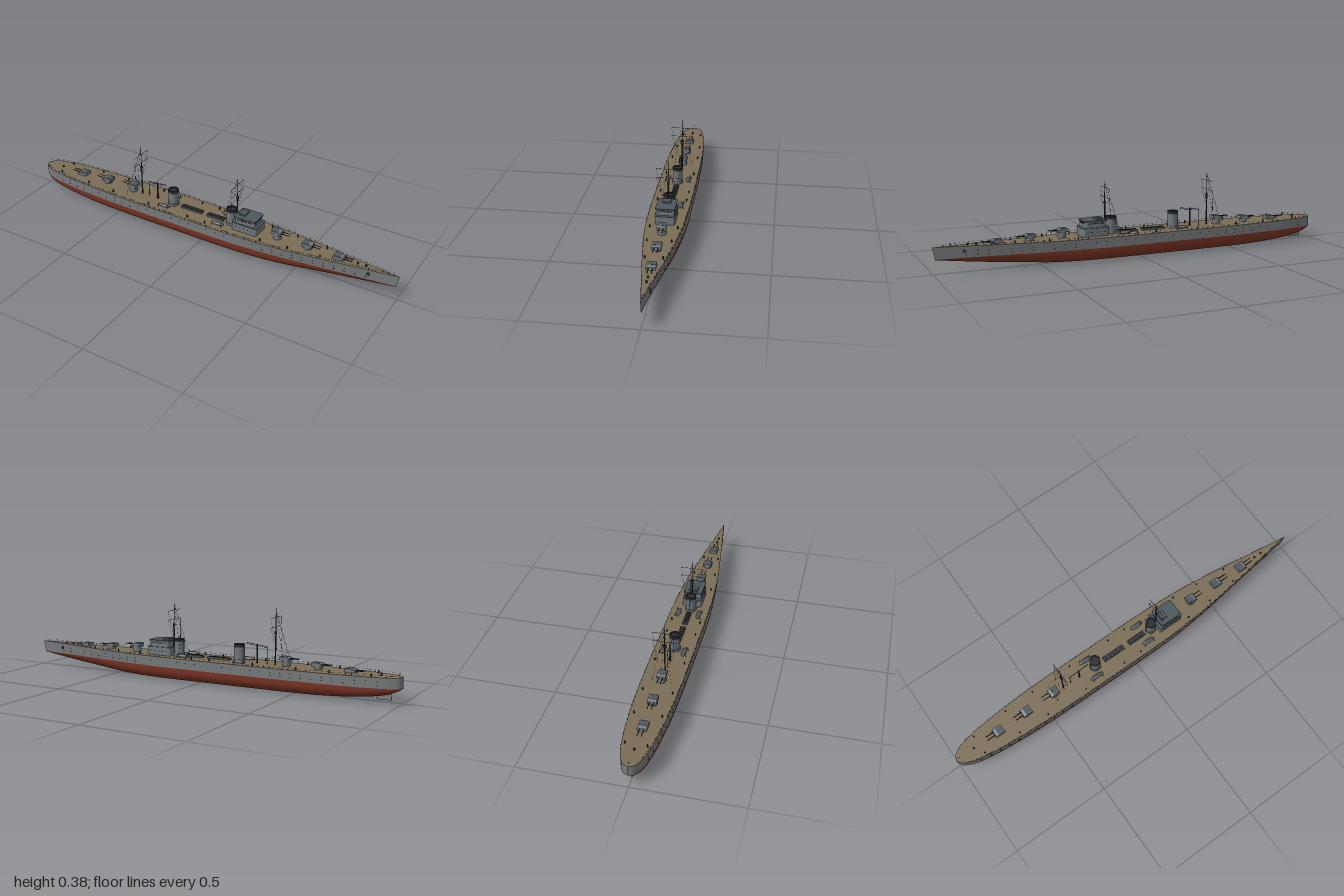
import * as THREE from 'three';
import { mergeGeometries } from 'three/addons/utils/BufferGeometryUtils.js';

const mat = (name, color, side = THREE.FrontSide) => {
  const m = new THREE.MeshStandardMaterial({ color, side });
  m.name = name;
  return m;
};
const M = {
  hull: mat('hull grey', 0x787b7d, THREE.DoubleSide),
  red: mat('bottom red', 0x7a3424, THREE.DoubleSide),
  deck: mat('deck tan', 0x7b6d56, THREE.DoubleSide),
  grey: mat('turret grey', 0x6f777b),
  slate: mat('slate roof', 0x4c575d),
  dark: mat('dark metal', 0x2a2d30),
};

// Hull stations: x, half beam, keel height
const stations = [
  [-1, 0, .068], [-.99, .022, .06], [-.97, .037, .05], [-.93, .053, .035], [-.85, .068, .02],
  [-.75, .079, .01], [-.6, .089, .002], [-.4, .094, 0], [-.1, .095, 0], [.15, .094, 0],
  [.3, .088, .001], [.45, .076, .006], [.6, .057, .02], [.75, .036, .035], [.9, .014, .053], [1, 0, .066],
];
const curve = new THREE.CatmullRomCurve3(stations.map(s => new THREE.Vector3(...s)));
const samples = curve.getPoints(120);
const WL = 0.068;
const sheer = x => 0.117 + 0.008 * Math.max(0, (x - 0.3) / 0.7) ** 1.5;
const flare = x => 0.98 - 0.2 * Math.max(0, (x - 0.2) / 0.8);
const stem = x => x - 0.012 * Math.max(0, (x - 0.7) / 0.3);
function beamAt(x) {
  const i = Math.max(1, samples.findIndex(p => p.x >= x));
  const a = samples[i - 1], b = samples[i];
  return Math.max(0, a.y + (b.y - a.y) * (x - a.x) / (b.x - a.x));
}
const sideZ = (x, y) => beamAt(x) * THREE.MathUtils.lerp(flare(x), 1, (y - WL) / (sheer(x) - WL));

// Skin a grid of cross-sections, ordered along +x
function loft(rows) {
  const n = rows[0].length, index = [];
  for (let i = 0; i < rows.length - 1; i++) for (let j = 0; j < n - 1; j++) {
    const a = i * n + j, c = a + n;
    index.push(a, a + 1, c, a + 1, c + 1, c);
  }
  const g = new THREE.BufferGeometry();
  g.setAttribute('position', new THREE.Float32BufferAttribute(rows.flat(2), 3));
  g.setIndex(index);
  g.computeVertexNormals();
  return g;
}

function add(parent, name, geometry, material, x = 0, y = 0, z = 0) {
  const m = new THREE.Mesh(geometry, material);
  m.name = name;
  m.position.set(x, y, z);
  parent.add(m);
  return m;
}
const box = (w, h, d) => new THREE.BoxGeometry(w, h, d);
const cyl = (rt, rb, h, n = 20) => new THREE.CylinderGeometry(rt, rb, h, n);

// Rod geometry between two points
function rod(a, b, r = 0.0006, r2 = r) {
  const A = new THREE.Vector3(...a), d = new THREE.Vector3(...b).sub(A);
  const g = cyl(r2, r, d.length(), 6);
  g.applyQuaternion(new THREE.Quaternion().setFromUnitVectors(new THREE.Vector3(0, 1, 0), d.clone().normalize()));
  return g.translate(A.x + d.x / 2, A.y + d.y / 2, A.z + d.z / 2);
}

// Upright block with rounded plan corners, standing on y = 0
function roundedBlock(w, d, h, r) {
  const s = new THREE.Shape(), x = w / 2, z = d / 2;
  s.moveTo(-x + r, -z).lineTo(x - r, -z).quadraticCurveTo(x, -z, x, -z + r).lineTo(x, z - r);
  s.quadraticCurveTo(x, z, x - r, z).lineTo(-x + r, z).quadraticCurveTo(-x, z, -x, z - r);
  s.lineTo(-x, -z + r).quadraticCurveTo(-x, -z, -x + r, -z);
  return new THREE.ExtrudeGeometry(s, { depth: h, bevelEnabled: false, curveSegments: 5 }).rotateX(-Math.PI / 2);
}

function buildHull(g) {
  const bottom = samples.map(({ x, y: b, z: k }) => {
    const w = Math.max(0, b) * flare(x), row = [];
    const n = 2.7 - 1.3 * THREE.MathUtils.smoothstep(x, 0.2, 0.9);
    for (let j = 0; j <= 20; j++) {
      const a = j / 20 * Math.PI, c = Math.cos(a), s = Math.sin(a);
      row.push([stem(x), WL - (WL - Math.max(0, k)) * Math.abs(s) ** (2 / n), w * Math.sign(c) * Math.abs(c) ** (2 / n)]);
    }
    return row;
  });
  add(g, 'lowerHull', loft(bottom), M.red);
  for (const s of [1, -1]) {
    const rows = samples.map(({ x, y: b }) => {
      const row = [[x, sheer(x), s * b], [stem(x), WL, s * b * flare(x)]];
      return s > 0 ? row : row.reverse();
    });
    add(g, s > 0 ? 'leftTopside' : 'rightTopside', loft(rows), M.hull);
  }
  add(g, 'deck', loft(samples.map(({ x, y: b }) => [[x, sheer(x), -b], [x, sheer(x), b]])), M.deck);
  add(g, 'rudder', box(.07, .045, .005), M.hull, -.915, .032);

  // Portholes, anchors and guard rails on both sides
  const ports = [], rails = [];
  for (const s of [1, -1]) {
    for (let x = -.9; x < .9; x += .05) {
      ports.push(cyl(.002, .002, .003, 8).rotateX(Math.PI / 2).translate(x, .098, s * sideZ(x, .098)));
      if (Math.abs(x) > .35) ports.push(box(.008, .002, .003).translate(x, .082, s * sideZ(x, .082)));
    }
    ports.push(box(.012, .014, .006).translate(.86, .1, s * sideZ(.86, .1)));
    let last;
    for (let x = -.97; x < .98; x += .03) {
      const z = s * (beamAt(x) - .001), y = sheer(x), top = [x, y + .009, z];
      rails.push(rod([x, y, z], top, .0006));
      if (last) rails.push(rod(last, top, .0003));
      last = top;
    }
  }
  add(g, 'portholes', mergeGeometries(ports), M.dark);
  add(g, 'guardRails', mergeGeometries(rails), M.dark);
}

// Twin gun turret on a barbette; dir is the way the barrels point
function turret(g, x, base, dir) {
  const t = new THREE.Group();
  t.name = 'gunTurret';
  t.position.set(x, 0, 0);
  t.rotation.y = dir > 0 ? 0 : Math.PI;
  const y0 = sheer(x) - .002;
  add(t, 'barbette', cyl(.02, .02, base - y0), M.grey, 0, (base + y0) / 2);
  const s = new THREE.Shape();
  s.moveTo(-.026, 0).lineTo(.026, 0).lineTo(.022, .011).lineTo(.01, .016).lineTo(-.026, .016);
  add(t, 'gunhouse', new THREE.ExtrudeGeometry(s, { depth: .042, bevelEnabled: false }), M.grey, 0, base, -.021);
  add(t, 'turretRoof', box(.03, .001, .034), M.slate, -.008, base + .0163);
  for (const z of [-.009, .009])
    add(t, 'gunBarrel', rod([.02, base + .008, z], [.066, base + .009, z], .0024, .0015), M.dark);
  g.add(t);
}

function funnel(g, x) {
  add(g, 'funnel', cyl(.025, .025, .075, 28), M.grey, x, .153);
  add(g, 'funnelBase', cyl(.028, .028, .012, 28), M.grey, x, .123);
  const cap = [[.021, .186], [.021, .201], [.0265, .201], [.0265, .187], [.025, .187]].map(p => new THREE.Vector2(...p));
  const black = M.dark;
  add(g, 'funnelCap', new THREE.LatheGeometry(cap.reverse(), 28).toNonIndexed(), black, x).geometry.computeVertexNormals();
  add(g, 'funnelMouth', cyl(.0215, .0215, .002, 28), black, x, .194);
  add(g, 'steamPipe', cyl(.003, .003, .08, 8), M.grey, x - .027, .157);
}

function mast(g, x) {
  const m = new THREE.Group();
  m.name = 'mast';
  m.position.x = x;
  add(m, 'lowerMast', rod([0, .115, 0], [0, .275, 0], .0038, .0025), M.dark);
  add(m, 'topmast', rod([0, .27, 0], [0, .384, 0], .0022, .0008), M.dark);
  add(m, 'lookout', cyl(.007, .005, .012, 12), M.dark, 0, .268);
  add(m, 'upperYard', rod([0, .341, -.057], [0, .341, .057], .001), M.dark);
  add(m, 'lowerYard', rod([0, .296, -.057], [0, .296, .057], .001), M.dark);
  const lines = [rod([0, .375, 0], [-.08, .118, 0], .0004)];
  for (const s of [1, -1]) lines.push(
    rod([0, .375, 0], [-.065, .118, s * .045], .0004),
    rod([0, .341, s * .057], [-.02, .19, s * .025], .0004),
    rod([0, .296, s * .057], [-.02, .19, s * .03], .0004),
    rod([0, .25, s * .008], [0, .275, s * .008], .0006), rod([0, .25, 0], [0, .25, s * .008], .0006));
  add(m, 'rigging', mergeGeometries(lines), M.dark);
  g.add(m);
}

function bridge(g) {
  const b = new THREE.Group();
  b.name = 'bridge';
  add(b, 'lowerBridge', roundedBlock(.135, .094, .04, .014), M.grey, .232, .116);
  add(b, 'lowerBridgeDeck', roundedBlock(.137, .096, .003, .014), M.slate, .232, .155);
  add(b, 'upperBridge', roundedBlock(.105, .086, .03, .01), M.grey, .233, .157);
  add(b, 'bridgeRoof', roundedBlock(.116, .092, .006, .012), M.slate, .233, .186);
  add(b, 'director', box(.035, .01, .04), M.slate, .207, .196);
  const panes = [];
  for (let i = -3; i <= 3; i++) {
    panes.push(box(.002, .007, .007).translate(.2855, .179, i * .0095));
    for (const s of [1, -1]) panes.push(box(.008, .007, .002).translate(.233 + i * .012, .179, s * .043));
  }
  for (const s of [1, -1]) for (let i = -2; i <= 2; i++)
    panes.push(box(.005, .005, .002).translate(.232 + i * .022, .138, s * .047));
  add(b, 'bridgeWindows', mergeGeometries(panes), M.dark);
  g.add(b);
}

function deckFittings(g) {
  // Skylights and lockers amidships
  for (const [x, w] of [[-.085, .12], [.052, .095]]) {
    add(g, 'deckhouse', box(w, .01, .026), M.slate, x, .121);
    for (let i = -2; i <= 2; i++) add(g, 'skylight', box(w * .15, .003, .02), M.dark, x + i * w * .19, .127);
  }
  // Four boats on chocks
  for (const x of [-.22, .09]) for (const z of [-.05, .05]) {
    add(g, 'boat', new THREE.SphereGeometry(1, 18, 10).scale(.035, .007, .011), M.grey, x, .125, z);
    add(g, 'boatCover', new THREE.SphereGeometry(1, 18, 6, 0, Math.PI * 2, 0, Math.PI / 2).scale(.029, .006, .008), M.slate, x, .1275, z);
    for (const d of [-.026, .026]) add(g, 'davit', rod([x + d, .116, z * 1.3], [x + d, .137, z * 1.2], .001), M.dark);
  }
  // Boat crane
  add(g, 'cranePost', rod([-.29, .116, 0], [-.29, .208, 0], .0045, .003), M.dark);
  add(g, 'craneMast', rod([-.342, .116, 0], [-.342, .2, 0], .0016), M.dark);
  const truss = [rod([-.345, .2, 0], [-.235, .212, 0], .0008), rod([-.345, .194, 0], [-.235, .206, 0], .0008)];
  for (let i = 0; i < 9; i++) {
    const x = -.342 + i * .012, y = .194 + i * .0013;
    truss.push(rod([x, y, 0], [x + .006, y + .0065, 0], .0006), rod([x + .006, y + .0065, 0], [x + .012, y, 0], .0006));
  }
  add(g, 'craneBoom', mergeGeometries(truss), M.dark);
  // Bollards, ventilators and capstans
  for (const x of [-.87, -.68, -.52, -.3, -.07, .03, .33, .47, .63])
    for (const s of [1, -1]) add(g, 'bollard', cyl(.003, .003, .014, 8), M.dark, x, sheer(x) + .006, s * beamAt(x) * .75);
  for (const x of [-.9, .8, .84]) add(g, 'capstan', cyl(.005, .004, .01, 10), M.dark, x, sheer(x) + .004);
  add(g, 'jackstaff', rod([.97, .12, 0], [.975, .14, 0], .0007), M.dark);
  add(g, 'ensignStaff', rod([-.98, .115, 0], [-.985, .14, 0], .0007), M.dark);
}

export function createModel() {
  const g = new THREE.Group();
  g.name = 'warship';
  buildHull(g);
  for (const [x, base] of [[.39, .145], [.55, .131], [.71, .121]]) turret(g, x, base, 1);
  for (const [x, base] of [[-.44, .145], [-.6, .131], [-.76, .119]]) turret(g, x, base, -1);
  for (const x of [-.195, .14]) funnel(g, x);
  for (const x of [-.385, .17]) mast(g, x);
  bridge(g);
  deckFittings(g);
  return g;
}
